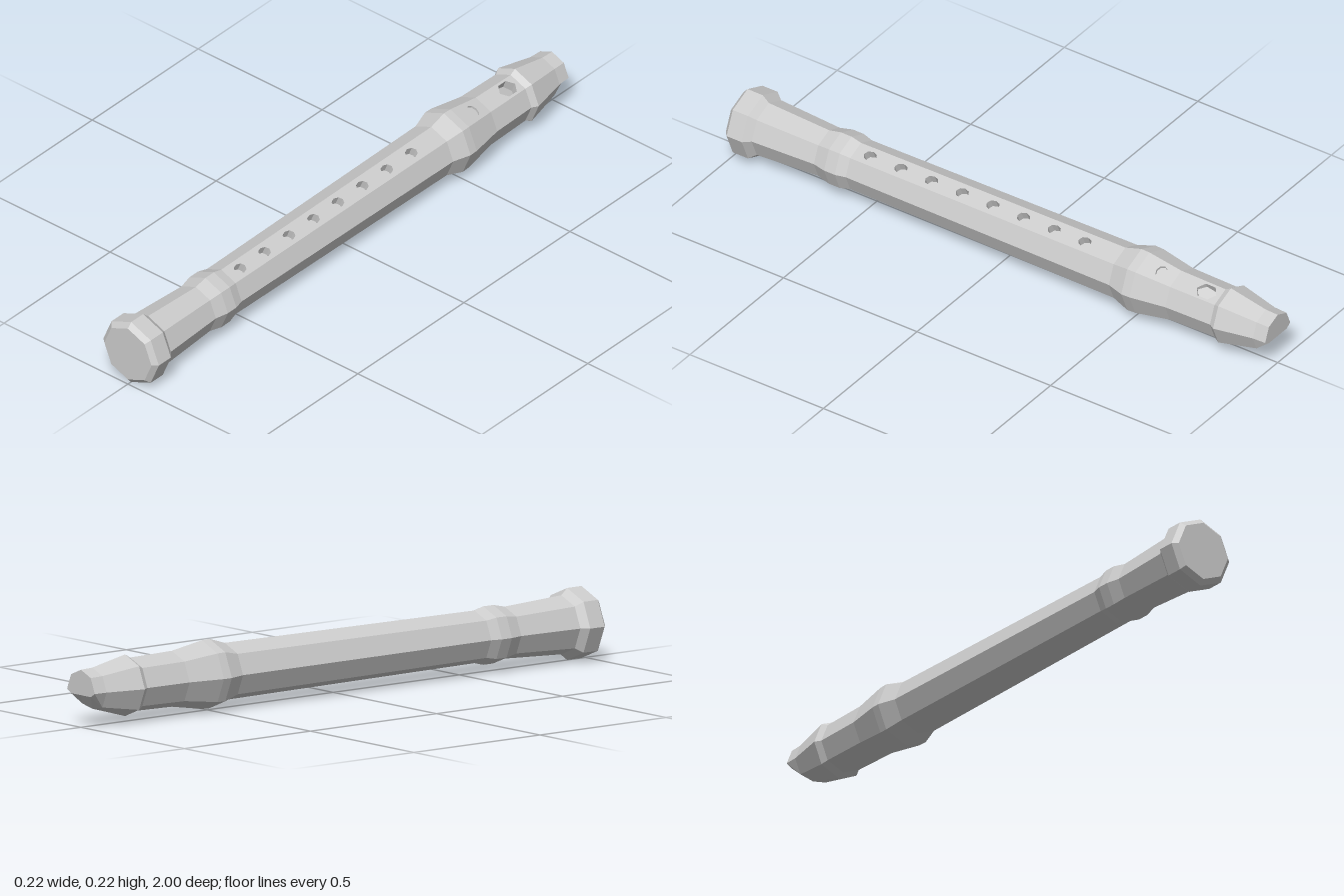
import * as THREE from 'three';

const CY = 0.112;                 // height of the bore axis
const STEP = Math.PI / 4;         // eight-sided body
const HALF = STEP / 2;

// Stations from foot to mouthpiece: z, corner radius, lowest allowed y
const STATIONS = [
  [1, 0.095, 0], [0.985, 0.112, 0], [0.928, 0.112, 0], [0.905, 0.092, 0],
  [0.68, 0.081, 0], [0.635, 0.091, 0], [0.595, 0.091, 0], [0.56, 0.082, 0],
  [-0.43, 0.089, 0], [-0.49, 0.108, 0], [-0.52, 0.107, 0], [-0.64, 0.087, 0],
  [-0.805, 0.084, 0], [-0.825, 0.096, 0], [-0.955, 0.069, 0.053], [-1, 0.067, 0.1],
];

// Openings: z, half width, half length, sides, depth at back and at front
const HOLES = [];
for (let i = 0; i < 8; i++) HOLES.push({ name: 'fingerHole', z: 0.505 - i * 0.115, w: 0.018, l: 0.023, n: 8, back: 0.03, front: 0.03 });
HOLES.push({ name: 'upperHole', z: -0.588, w: 0.022, l: 0.017, n: 8, back: 0.008, front: 0.008 });
HOLES.push({ name: 'window', z: -0.755, w: 0.028, l: 0.036, n: 6, back: 0.035, front: 0.01 });

const material = new THREE.MeshStandardMaterial({ color: 0xcccccc, flatShading: true });

function radiusAt(z) {
  for (let i = 0; i < STATIONS.length - 1; i++) {
    const [z0, r0] = STATIONS[i], [z1, r1] = STATIONS[i + 1];
    if (z <= z0 && z >= z1) return r0 + (r1 - r0) * (z0 - z) / (z0 - z1);
  }
  return STATIONS[0][1];
}

// Corner ring of a station, clockwise from the top as seen from the front
function ring([z, r, minY]) {
  return Array.from({ length: 8 }, (_, k) =>
    new THREE.Vector3(r * Math.sin(k * STEP), Math.max(CY + r * Math.cos(k * STEP), minY), z));
}

// Point on the pierced face: u across it, v towards the mouthpiece, d inwards
function onFace(u, v, d = 0) {
  const a = radiusAt(-v) * Math.cos(HALF) - d;
  return new THREE.Vector3(
    a * Math.sin(HALF) + u * Math.cos(HALF),
    CY + a * Math.cos(HALF) - u * Math.sin(HALF), -v);
}

function fan(out, pts) {
  for (let i = 1; i < pts.length - 1; i++) out.push(pts[0], pts[i], pts[i + 1]);
}

function meshFrom(name, points) {
  const g = new THREE.BufferGeometry().setFromPoints(points);
  g.computeVertexNormals();
  const m = new THREE.Mesh(g, material);
  m.name = name;
  return m;
}

function outline(h) {
  return Array.from({ length: h.n }, (_, i) => {
    const a = Math.PI / 2 + i * 2 * Math.PI / h.n;
    return new THREE.Vector2(h.w * Math.cos(a), -h.z + h.l * Math.sin(a));
  });
}

// Flat strip of the pierced face with openings cut through it
function panel(s0, s1, holes) {
  const w0 = s0[1] * Math.sin(HALF), w1 = s1[1] * Math.sin(HALF);
  const shape = new THREE.Shape([
    new THREE.Vector2(-w0, -s0[0]), new THREE.Vector2(w0, -s0[0]),
    new THREE.Vector2(w1, -s1[0]), new THREE.Vector2(-w1, -s1[0])]);
  shape.holes = holes.map(h => new THREE.Path(outline(h)));
  const g = new THREE.ShapeGeometry(shape);
  const p = g.attributes.position;
  for (let i = 0; i < p.count; i++) {
    const q = onFace(p.getX(i), p.getY(i));
    p.setXYZ(i, q.x, q.y, q.z);
  }
  g.computeVertexNormals();
  const m = new THREE.Mesh(g, material);
  m.name = 'piercedPanel';
  return m;
}

// Walls and floor of one opening
function pocket(h) {
  const pts = outline(h);
  const top = pts.map(p => onFace(p.x, p.y));
  const low = pts.map(p => {
    const t = (p.y + h.z + h.l) / (2 * h.l);
    return onFace(p.x, p.y, h.front + (h.back - h.front) * t);
  });
  const out = [];
  for (let i = 0; i < h.n; i++) {
    const j = (i + 1) % h.n;
    fan(out, [top[i], top[j], low[j], low[i]]);
  }
  fan(out, low);
  return meshFrom(h.name, out);
}

export function createModel() {
  const group = new THREE.Group();
  group.name = 'recorder';
  const names = ['foot', 'body', 'head'];
  const sections = [[], [], []];

  // Eight-sided tube, leaving out the strips that carry openings
  for (let s = 0; s < STATIONS.length - 1; s++) {
    const s0 = STATIONS[s], s1 = STATIONS[s + 1];
    const a = ring(s0), b = ring(s1);
    const out = sections[s < 7 ? 0 : s < 8 ? 1 : 2];
    const holes = HOLES.filter(h => h.z < s0[0] && h.z > s1[0]);
    if (holes.length) group.add(panel(s0, s1, holes));
    for (let k = holes.length ? 1 : 0; k < 8; k++) {
      const n = (k + 1) % 8;
      fan(out, [a[k], a[n], b[n], b[k]]);
    }
  }

  // End faces
  fan(sections[0], ring(STATIONS[0]).reverse());
  fan(sections[2], ring(STATIONS[STATIONS.length - 1]));

  sections.forEach((pts, i) => group.add(meshFrom(names[i], pts)));
  HOLES.forEach(h => group.add(pocket(h)));
  return group;
}
